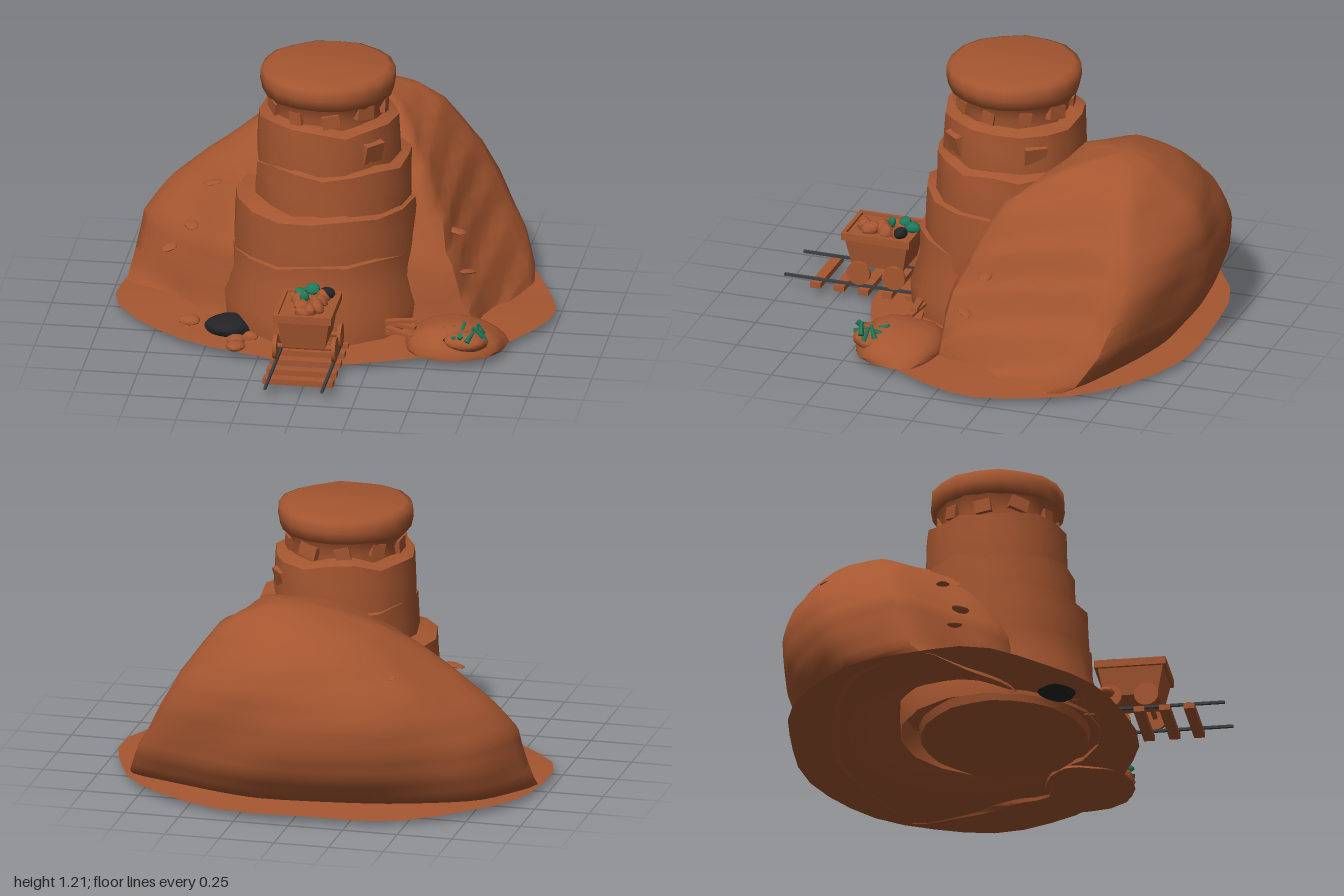
import * as THREE from 'three';
import { mergeVertices, toCreasedNormals } from 'three/addons/utils/BufferGeometryUtils.js';

const mat = (name, color, side = THREE.FrontSide) => {
  const m = new THREE.MeshStandardMaterial({ color, side });
  m.name = name;
  return m;
};
const noise = (a, b = 0) => {
  const s = Math.sin(a * 127.1 + b * 311.7 + 5.3) * 43758.5453;
  return (s - Math.floor(s)) * 2 - 1;
};

export function createModel() {
  const model = new THREE.Group();
  const clay = mat('red clay', 0xa55630, THREE.DoubleSide);
  const coal = mat('coal black', 0x242426);
  const green = mat('crystal green', 0x1f7a5c);
  const steel = mat('rail steel', 0x3c4042);

  const add = (name, geo, material, pos = [0, 0, 0], rot = [0, 0, 0], parent = model) => {
    const mesh = new THREE.Mesh(geo, material);
    mesh.name = name;
    mesh.position.set(...pos);
    mesh.rotation.set(...rot);
    parent.add(mesh);
    return mesh;
  };

  // Rough turned drum: profile of [radius, y], roughened column by column
  const drum = (profile, sides, rough, lift, seed, crease = 0.9) => {
    const geo = new THREE.LatheGeometry(profile.map(p => new THREE.Vector2(...p)), sides);
    const p = geo.attributes.position;
    const rows = profile.length;
    for (let i = 0; i < p.count; i++) {
      const col = Math.floor(i / rows) % sides, row = i % rows;
      if (profile[row][0] === 0) continue;
      const k = 1 + rough * (noise(col, seed) + 0.35 * noise(col + row * 31, seed));
      const up = row >= rows / 2 ? lift * noise(col + 50, seed) : 0;
      p.setXYZ(i, p.getX(i) * k, p.getY(i) + up, p.getZ(i) * k);
    }
    geo.deleteAttribute('normal');
    geo.deleteAttribute('uv');
    const welded = mergeVertices(geo, 1e-4);
    welded.computeVertexNormals();
    return toCreasedNormals(welded, crease);
  };

  // Lumpy stone, cut flat at the given floor
  const stone = (sx, sy, sz, seed, detail = 2, floor = -1) => {
    const geo = new THREE.IcosahedronGeometry(1, detail);
    const p = geo.attributes.position;
    for (let i = 0; i < p.count; i++) {
      const x = p.getX(i), y = p.getY(i), z = p.getZ(i);
      const k = 1 + 0.08 * Math.sin(3 * x + seed) + 0.07 * Math.sin(4 * z + 2 * y + seed * 2);
      p.setXYZ(i, x * k * sx, Math.max(y * k * sy, floor), z * k * sz);
    }
    return toCreasedNormals(geo, 0.7);
  };

  // Ground skirt with an uneven rim, hollowed from below under the hill
  const ground = new THREE.RingGeometry(0.001, 1, 36, 10);
  ground.rotateX(-Math.PI / 2);
  const gp = ground.attributes.position;
  for (let i = 0; i < gp.count; i++) {
    const x = gp.getX(i), z = gp.getZ(i), r = Math.hypot(x, z), a = Math.atan2(z, x);
    const k = 1 + 0.012 * Math.sin(5 * a) + 0.01 * Math.sin(9 * a + 1);
    const hollow = 0.15 * Math.max(0, 1 - (r / 0.6) ** 2);
    gp.setXYZ(i, x * 0.975 * k, 0.03 + 0.035 * (1 - r * r) + hollow + 0.004 * Math.sin(7 * a) * r, -0.2 + z * 0.77 * k);
  }
  ground.computeVertexNormals();
  add('groundSkirt', ground, clay);

  // Hill: one outline (u across, v front to back) fitted to each level
  const outline = new THREE.CatmullRomCurve3([
    [-0.45, 0], [-0.75, 0.2], [-1, 0.39], [-0.95, 0.54], [-0.77, 0.76], [-0.35, 0.94], [0.2, 1],
    [0.5, 0.95], [0.8, 0.86], [1, 0.75], [0.96, 0.55], [0.84, 0.2], [0.76, 0], [0.2, 0],
  ].map(([u, v]) => new THREE.Vector3(u, 0, v)), true, 'catmullrom', 0.4).getSpacedPoints(64).slice(0, 64);
  const levels = [ // y, left, right, front, back
    [0.03, -0.94, 0.84, 0.12, -0.75], [0.07, -0.94, 0.83, 0.11, -0.84], [0.2, -0.92, 0.77, 0.1, -0.945],
    [0.32, -0.89, 0.70, 0.07, -0.985], [0.45, -0.78, 0.64, 0, -1], [0.58, -0.64, 0.57, -0.06, -0.985],
    [0.7, -0.47, 0.48, -0.13, -0.93], [0.8, -0.3, 0.4, -0.27, -0.85], [0.87, -0.12, 0.3, -0.4, -0.77],
    [0.905, 0, 0.2, -0.52, -0.69],
  ];
  const pos = [], index = [], n = outline.length, sub = 3;
  const rows = (levels.length - 1) * sub + 1;
  for (let k = 0; k < rows; k++) {
    const a = levels[Math.floor(k / sub)], b = levels[Math.min(Math.floor(k / sub) + 1, levels.length - 1)];
    const [y, l, r, f, bk] = a.map((s, j) => THREE.MathUtils.lerp(s, b[j], (k % sub) / sub));
    outline.forEach(({ x: u, z: v }) => {
      let x = (l + r) / 2 + u * (r - l) / 2, z = f + (bk - f) * v;
      // gentle lumps, with slanting ledges on the steep left flank
      const lump = 0.012 * Math.sin(7 * x + 9 * y) * Math.sin(8 * z + 5 * y);
      const ledge = u > 0.6 && v < 0.65 ? 0.025 * (((y * 6 + z * 1.5 + 9) % 1) - 0.5) : 0;
      x += u * lump + ledge;
      z += (0.5 - v) * lump * 2;
      pos.push(x, y, Math.max(z, -1));
    });
  }
  pos.push(0.1, 0.915, -0.61);
  for (let k = 0; k < rows; k++) for (let i = 0; i < n; i++) {
    const j = (i + 1) % n, a = k * n + i, b = k * n + j;
    if (k === rows - 1) index.push(a, rows * n, b);
    else index.push(a, a + n, b, b, a + n, b + n);
  }
  const hill = new THREE.BufferGeometry();
  hill.setAttribute('position', new THREE.Float32BufferAttribute(pos, 3));
  hill.setIndex(index);
  hill.computeVertexNormals();
  add('hill', toCreasedNormals(hill, 0.8), clay);

  // Thin rock ledges breaking the hill surface
  [[-0.56, 0.54, -0.2], [-0.74, 0.25, -0.12], [-0.64, 0.37, -0.11], [0.55, 0.42, -0.1], [0.61, 0.26, -0.02],
    [-0.4, 0.65, -0.73], [0.1, 0.78, -0.82]].forEach(([x, y, z], i) =>
    add('rockLedge', stone(0.045, 0.009, 0.03, i, 1), clay, [x, y, z], [0, i, 0.2]));

  // Tower: base plate, stepped drums, neck and cap
  const plate = add('basePlate', drum([[0, 0], [0.41, 0], [0.42, 0.04], [0, 0.04]], 24, 0.015, 0, 2), clay, [-0.05, 0, 0]);
  plate.scale.z = 0.9;
  const tower = new THREE.Group();
  tower.name = 'tower';
  model.add(tower);
  const tier = (name, y0, y1, r0, r1, x, z, lift, seed) => add(name, drum([[r0, y0], [r0 * 1.01, y0 + (y1 - y0) * 0.35],
    [r1 * 1.01, y0 + (y1 - y0) * 0.7], [r1, y1], [r1 * 0.82, y1 + 0.02], [0, y1 + 0.02]], 16, 0.022, lift, seed),
  clay, [x, 0, z], [0, 0, 0], tower);
  tier('footTier', 0.03, 0.37, 0.45, 0.41, -0.03, -0.02, 0.04, 1);
  tier('lowerTier', 0.3, 0.6, 0.405, 0.4, -0.03, -0.035, 0.015, 4);
  tier('middleTier', 0.52, 0.79, 0.35, 0.345, 0.01, -0.045, 0.015, 7);
  tier('upperTier', 0.72, 0.99, 0.315, 0.312, -0.015, -0.045, 0.02, 9);
  add('neck', drum([[0.26, 0.95], [0.25, 1.04], [0.28, 1.1]], 16, 0.02, 0, 5), clay, [-0.015, 0, -0.035], [0, 0, 0], tower);
  add('cap', drum([[0, 1.1], [0.24, 1.085], [0.29, 1.1], [0.3, 1.15], [0.297, 1.2], [0.27, 1.21], [0, 1.208]],
    18, 0.01, 0.003, 3, 2), clay, [-0.015, 0, -0.035], [0, 0, 0], tower);

  // Stone blocks round the neck and tilted shutters below them
  for (let i = 0; i < 10; i++) {
    const a = i * Math.PI / 5 + 0.2;
    add('neckBlock', new THREE.BoxGeometry(0.075 + 0.02 * noise(i, 2), 0.06, 0.04), clay,
      [-0.015 + 0.25 * Math.sin(a), 1.05 + 0.015 * noise(i), -0.035 + 0.25 * Math.cos(a)],
      [0.15 * noise(i, 5), a, 0.3 * noise(i, 7)], tower);
  }
  [0.85, 2.2].forEach(a => {
    const shutter = add('shutter', new THREE.BoxGeometry(0.1, 0.095, 0.05), clay,
      [-0.015 + 0.295 * Math.sin(a), 0.885, -0.04 + 0.295 * Math.cos(a)], [0, a, 0], tower);
    shutter.rotateX(0.25);
  });

  // Railway
  [-0.14, 0.115].forEach(x => add('rail', new THREE.BoxGeometry(0.012, 0.012, 0.62), steel, [x, 0.07, 0.69]));
  [0.4, 0.51, 0.62, 0.735, 0.845].forEach(z =>
    add('sleeper', new THREE.BoxGeometry(0.315, 0.026, 0.048), clay, [-0.013, 0.05, z]));

  // Mine cart: tapered tub, rim, wheels and load
  const cart = new THREE.Group();
  cart.name = 'mineCart';
  cart.position.set(-0.013, 0, 0.575);
  model.add(cart);
  const tub = new THREE.BoxGeometry(0.24, 0.15, 0.3);
  const tp = tub.attributes.position;
  for (let i = 0; i < tp.count; i++) if (tp.getY(i) < 0) tp.setXYZ(i, tp.getX(i) * 0.8, tp.getY(i), tp.getZ(i) * 0.8);
  tub.computeVertexNormals();
  add('tub', tub, clay, [0, 0.225, 0], [0, 0, 0], cart);
  [-1, 1].forEach(s => {
    add('sideRim', new THREE.BoxGeometry(0.018, 0.035, 0.32), clay, [s * 0.121, 0.295, 0], [0, 0, 0], cart);
    add('endRim', new THREE.BoxGeometry(0.26, 0.035, 0.018), clay, [0, 0.295, s * 0.151], [0, 0, 0], cart);
    [-0.09, 0.075].forEach(z => add('wheel', new THREE.CylinderGeometry(0.055, 0.055, 0.018, 16), clay,
      [s * 0.132, 0.13, z], [0, 0, Math.PI / 2], cart));
  });
  [-0.09, 0.075].forEach(z => add('axle', new THREE.CylinderGeometry(0.012, 0.012, 0.26, 8), clay,
    [0, 0.135, z], [0, 0, Math.PI / 2], cart));
  for (let i = 0; i < 11; i++) {
    add('oreLump', stone(0.036, 0.03, 0.036, i, 1), clay,
      [0.07 * noise(i, 3), 0.305 + 0.012 * noise(i, 8), -0.11 + i * 0.021], [i, 0, i], cart);
  }
  [[0, 0.328, -0.135, 0.034], [-0.045, 0.325, -0.08, 0.03], [-0.02, 0.33, -0.03, 0.02]].forEach(([x, y, z, r], i) =>
    add('greenOre', stone(r, 0.025, r, i, 1), green, [x, y, z], [0, i, 0], cart));
  add('coalLump', stone(0.032, 0.027, 0.034, 4, 1), coal, [0.073, 0.325, -0.1], [0, 0, 0], cart);

  // Side mound with a rock bearing green crystals and coal specks
  add('sideMound', stone(0.26, 0.11, 0.18, 2, 3, 0), clay, [0.605, 0.035, 0.28], [0, 0.1, 0]);
  add('crystalRock', stone(0.1, 0.05, 0.075, 5), clay, [0.66, 0.1, 0.4]);
  for (let i = 0; i < 11; i++) {
    const a = i * Math.PI * 2 / 11;
    add('crystal', new THREE.CylinderGeometry(0.007, 0.014, 0.065, 5), green,
      [0.66 + 0.08 * Math.cos(a), 0.138 + 0.015 * noise(i) + 0.012 * Math.cos(a), 0.395 + 0.05 * Math.sin(a)],
      [noise(i, 1) * 1.2, a, noise(i, 2) * 1.4]);
  }
  [[0.58, 0.11, 0.43], [0.71, 0.12, 0.44]].forEach((p, i) => add('coalSpeck', stone(0.014, 0.012, 0.014, i, 1), coal, p));

  // Coal heap, loose stones and broken planks
  add('coalHeap', stone(0.11, 0.045, 0.092, 1), coal, [-0.415, 0.062, 0.29]);
  [[-0.6, 0.22, 0.05], [-0.36, 0.42, 0.045], [-0.35, 0.49, 0.05], [-0.3, 0.37, 0.035]].forEach(([x, z, r], i) =>
    add('looseStone', stone(r, 0.022, r * 0.85, i, 1), clay, [x, 0.052, z]));
  for (let i = 0; i < 4; i++) {
    add('plank', new THREE.BoxGeometry(0.14, 0.014, 0.03), clay,
      [0.36, 0.075 + i * 0.02, 0.3 + 0.03 * noise(i)], [0, 0.5 * noise(i, 4), 0.08 * noise(i, 6)]);
  }
  return model;
}
